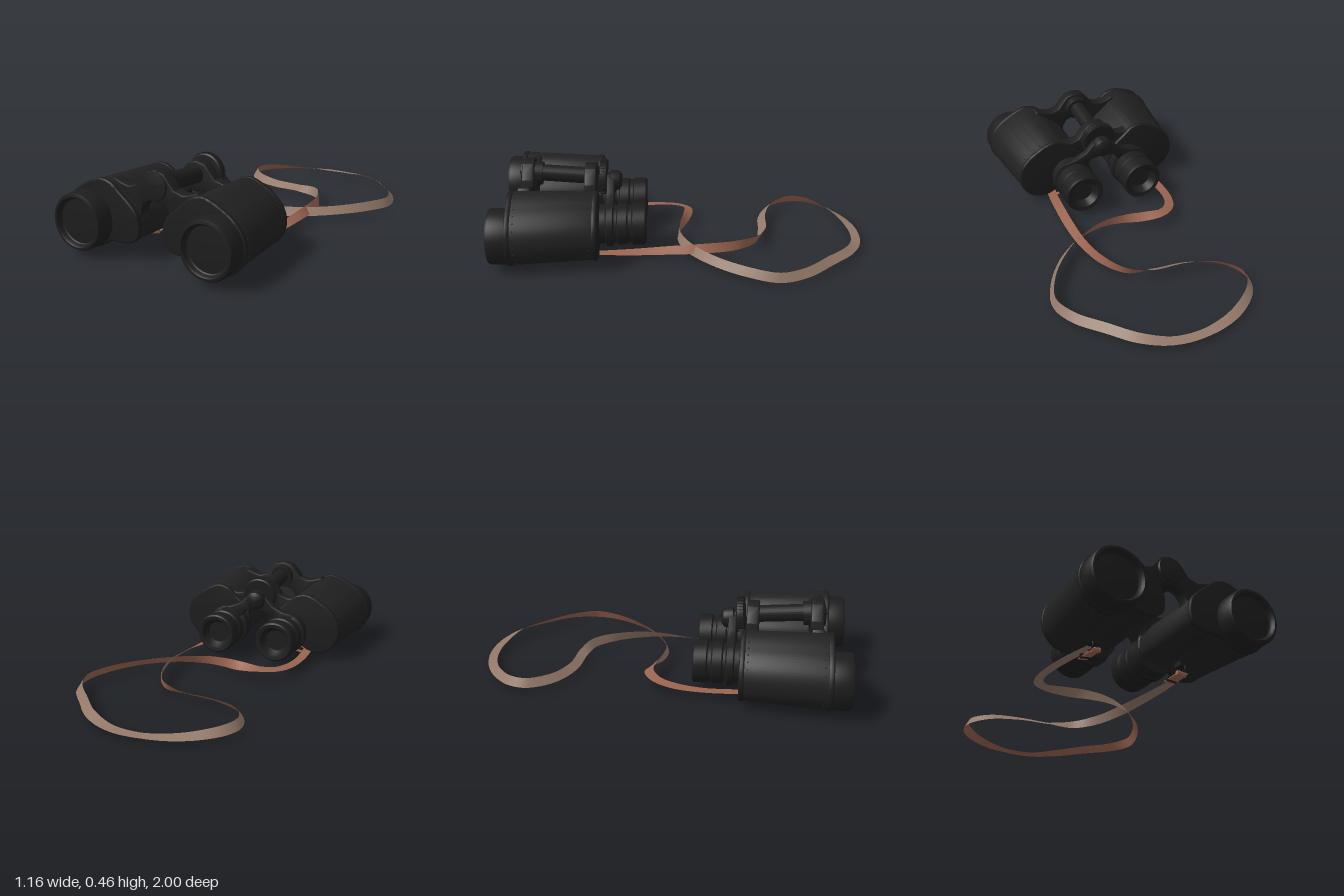
import * as THREE from 'three';
import { toCreasedNormals, mergeGeometries } from 'three/addons/utils/BufferGeometryUtils.js';

const mat = (name, color) => {
  const m = new THREE.MeshStandardMaterial({ color });
  m.name = name;
  return m;
};

export function createModel() {
  const leather = mat('black leather', 0x212121);
  const metal = mat('black metal', 0x1d1d1d);
  const strapGrain = mat('strap red brown side', 0x9a6450);
  const strapSuede = mat('strap tan side', 0x937868);

  const model = new THREE.Group();
  model.name = 'binoculars';
  const optics = new THREE.Group();
  optics.name = 'optics';
  optics.position.x = -0.053;
  model.add(optics);

  const add = (parent, name, geo, material, x = 0, y = 0, z = 0) => {
    const mesh = new THREE.Mesh(geo, material);
    mesh.name = name;
    mesh.position.set(x, y, z);
    parent.add(mesh);
    return mesh;
  };

  // Turned part along z; profile is [radius, z] from back to front
  const turned = (profile, seg = 48) => toCreasedNormals(
    new THREE.LatheGeometry(profile.map(p => new THREE.Vector2(p[0], p[1])), seg).rotateX(Math.PI / 2), 0.6);

  // Closed smooth outline, mirrored by s
  const outline = (pts, s, n) => new THREE.CatmullRomCurve3(
    pts.map(p => new THREE.Vector3(p[0] * s, p[1], 0)), true).getSpacedPoints(n).slice(0, n);

  const slab = (pts, z0, z1, bevel, grow = 0) => new THREE.ExtrudeGeometry(
    new THREE.Shape(pts.map(p => new THREE.Vector2(p.x, p.y))), {
      depth: z1 - z0 - 2 * bevel, bevelEnabled: true, bevelThickness: bevel,
      bevelSize: bevel, bevelOffset: grow - bevel, bevelSegments: 3,
    }).translate(0, 0, z0 + bevel);

  // Prism housings narrow towards the eyepieces
  const taper = (x, y, z, s) => {
    const k = (0.89 - z) / 0.45;
    return [s * 0.075 + (x - s * 0.075) * (1 - 0.106 * k), 0.15 + (y - 0.15) * (1 - 0.07 * k), z];
  };
  const tapered = (geo, s) => {
    const p = geo.attributes.position;
    for (let i = 0; i < p.count; i++) p.setXYZ(i, ...taper(p.getX(i), p.getY(i), p.getZ(i), s));
    return toCreasedNormals(geo, 0.6);
  };

  const bodyPts = [[.528, .18], [.508, .255], [.455, .315], [.4, .35], [.345, .378], [.295, .39], [.235, .375],
    [.18, .33], [.12, .28], [.085, .235], [.074, .17], [.086, .12], [.13, .092], [.2, .086], [.245, .084],
    [.285, .06], [.33, .038], [.378, .03], [.45, .047], [.508, .105]];

  const eyepieceProfile = [[0, .225], [.06, .225], [.075, .205], [.085, .185], [.105, .182], [.113, .19],
    [.114, .255], [.104, .262], [.104, .28], [.112, .287], [.112, .335], [.103, .342], [.103, .355],
    [.12, .362], [.12, .395], [.108, .402], [.108, .46], [0, .46]];
  const objectiveProfile = [[0, .87], [.143, .87], [.147, .9], [.147, .98], [.14, .993], [.128, .995],
    [.12, .985], [.118, .97], [.112, .966], [0, .974]];

  // Two mirrored barrels
  for (const s of [-1, 1]) {
    const barrel = new THREE.Group();
    barrel.name = s > 0 ? 'leftBarrel' : 'rightBarrel';
    optics.add(barrel);
    const pts = outline(bodyPts, s, 80);
    add(barrel, 'prismHousing', tapered(slab(pts, .44, .89, .01), s), leather);
    add(barrel, 'frontPlate', tapered(slab(pts, .868, .897, .008, .004), s), metal);
    add(barrel, 'rearPlate', tapered(slab(pts, .432, .46, .008, .004), s), metal);
    add(barrel, 'objective', turned(objectiveProfile, 64), metal, s * .378, .18, 0);
    add(barrel, 'eyepiece', turned(eyepieceProfile), metal, s * .181, .152, 0);

    // Rivets along the edges of the leather
    const rivets = [];
    for (const z of [.853, .475]) {
      for (const p of outline(bodyPts, s, 30)) {
        rivets.push(new THREE.SphereGeometry(.004, 6, 4).translate(...taper(p.x, p.y, z, s)));
      }
    }
    add(barrel, 'rivets', mergeGeometries(rivets), metal);

    // Strap lug and ring in the groove under the barrel
    add(barrel, 'strapLug', new THREE.BoxGeometry(.05, .035, .05), metal, s * .265, .075, .55);
    add(barrel, 'strapRing', new THREE.TorusGeometry(.024, .005, 8, 20).rotateY(Math.PI / 2), metal,
      s * .27, .048, .55);
  }

  // Hinge bridges, each spanning both barrels
  const bridgeHalf = [[0, .465], [.05, .452], [.083, .415], [.11, .38], [.16, .366], [.2, .375], [.245, .392],
    [.265, .37], [.2, .3], [.12, .255], [.085, .235], [.082, .262], [.06, .295], [.03, .308]];
  const bothSides = half => {
    const left = half.slice(1).map(p => [-p[0], p[1]]).reverse();
    return [...half, ...left].map(p => new THREE.Vector2(p[0], p[1]));
  };
  const bridge = half => toCreasedNormals(slab(bothSides(half), -.033, .033, .008), 0.6);
  add(optics, 'frontBridge', bridge(bridgeHalf), metal, 0, 0, .82);
  add(optics, 'rearBridge', bridge(bridgeHalf), metal, 0, -.03, .485);

  // Hinge axle, dropping slightly to the rear
  const tilt = -0.08;
  const axle = add(optics, 'hingeAxle', turned([[0, -.19], [.045, -.19], [.045, .19], [0, .19]]), metal, 0, .375, .645);
  axle.rotation.x = tilt;
  add(optics, 'hingeCap', turned([[0, -.07], [.064, -.07], [.066, .02], [.066, .03], [.074, .035], [.07, .044],
    [.03, .05], [.012, .051], [.012, .056], [0, .056]]), metal, 0, .385, .818).rotation.x = tilt;

  // Focus wheel and rear knob
  add(optics, 'focusWheel', turned([[0, -.022], [.09, -.022], [.098, -.016], [.1, 0], [.098, .016],
    [.09, .022], [0, .022]]), metal, 0, .354, .42).rotation.x = tilt;
  const ridges = [];
  for (let i = 0; i < 36; i++) {
    ridges.push(new THREE.BoxGeometry(.007, .008, .03).translate(0, .099, 0).rotateZ(i * Math.PI / 18));
  }
  add(optics, 'focusWheelRidges', mergeGeometries(ridges), metal, 0, .354, .42).rotation.x = tilt;
  add(optics, 'rearKnob', turned([[0, -.045], [.035, -.043], [.052, -.03], [.056, -.01], [.056, .02],
    [.042, .028], [.042, .06], [0, .06]]), metal, 0, .335, .36).rotation.x = tilt;

  // Arm carrying the two eyepieces
  add(optics, 'eyepieceArm', toCreasedNormals(slab(bothSides([[0, .375], [.05, .36], [.1, .305], [.16, .278],
    [.23, .262], [.18, .2], [.1, .22], [.07, .262], [.04, .268]]), .355, .4, .006), 0.6), metal);

  // Carrying strap: x, y, z and roll in degrees; it twists over twice
  const path = [[-.325, .035, .56, 0], [-.35, .04, .42, 0], [-.365, .045, .25, 0], [-.355, .055, .1, 8],
    [-.315, .065, 0, 10], [-.24, .075, -.055, 15], [-.13, .07, -.04, 50], [-.02, .062, -.005, 88],
    [.09, .058, .003, 105], [.24, .057, -.05, 125], [.4, .057, -.18, 130], [.52, .055, -.35, 120],
    [.568, .05, -.5, 112], [.52, .052, -.64, 130], [.4, .055, -.78, 140], [.28, .05, -.9, 150],
    [.13, .035, -.968, 170], [-.05, .033, -.975, 175], [-.24, .04, -.915, 155], [-.39, .052, -.79, 128],
    [-.418, .055, -.68, 115], [-.34, .055, -.555, 130], [-.18, .05, -.483, 145], [0, .05, -.465, 150],
    [.13, .055, -.425, 110], [.22, .06, -.3, 80], [.265, .065, -.13, 60], [.272, .06, .05, 35],
    [.26, .045, .25, 15], [.245, .035, .42, 0], [.22, .027, .56, 0]];
  const curve = new THREE.CatmullRomCurve3(path.map(p => new THREE.Vector3(p[0], p[1], p[2])));
  const ribbon = (half, flip) => {
    const n = 240, pos = [], idx = [];
    for (let i = 0; i <= n; i++) {
      const t = i / n, f = t * (path.length - 1), j = Math.min(Math.floor(f), path.length - 2);
      const roll = THREE.MathUtils.degToRad(THREE.MathUtils.lerp(path[j][3], path[j + 1][3], f - j));
      const c = curve.getPoint(t), d = curve.getTangent(t);
      const across = d.clone().cross(new THREE.Vector3(0, 1, 0)).normalize();
      const side = across.clone().multiplyScalar(Math.cos(roll)).add(across.cross(d).multiplyScalar(Math.sin(roll)));
      const lift = side.clone().cross(d).multiplyScalar(flip ? -.0015 : .0015);
      for (const w of [-half, half]) {
        const v = c.clone().addScaledVector(side, w).add(lift);
        pos.push(v.x, v.y, v.z);
      }
      if (i < n) {
        const a = 2 * i, quad = [a, a + 1, a + 3, a, a + 3, a + 2];
        idx.push(...(flip ? quad.reverse() : quad));
      }
    }
    const g = new THREE.BufferGeometry();
    g.setAttribute('position', new THREE.Float32BufferAttribute(pos, 3));
    g.setIndex(idx);
    g.computeVertexNormals();
    return g;
  };
  const strap = new THREE.Group();
  strap.name = 'strap';
  model.add(strap);
  add(strap, 'strapGrainSide', ribbon(.026, false), strapGrain);
  add(strap, 'strapSuedeSide', ribbon(.026, true), strapSuede);

  // Folded strap ends with keeper bands
  for (const [x, y, turn] of [[-.328, .032, .17], [.221, .022, -.1]]) {
    const end = new THREE.Group();
    end.name = 'strapEnd';
    end.position.set(x, y, 0);
    end.rotation.y = turn * .3;
    end.rotation.z = turn;
    strap.add(end);
    add(end, 'foldedTab', new THREE.BoxGeometry(.052, .005, .12), strapGrain, 0, -.008, .5);
    add(end, 'fold', new THREE.CylinderGeometry(.013, .013, .052, 16).rotateZ(Math.PI / 2), strapGrain, 0, -.004, .555);
    add(end, 'keeper', new THREE.BoxGeometry(.058, .02, .016), metal, 0, -.003, .47);
  }
  return model;
}
